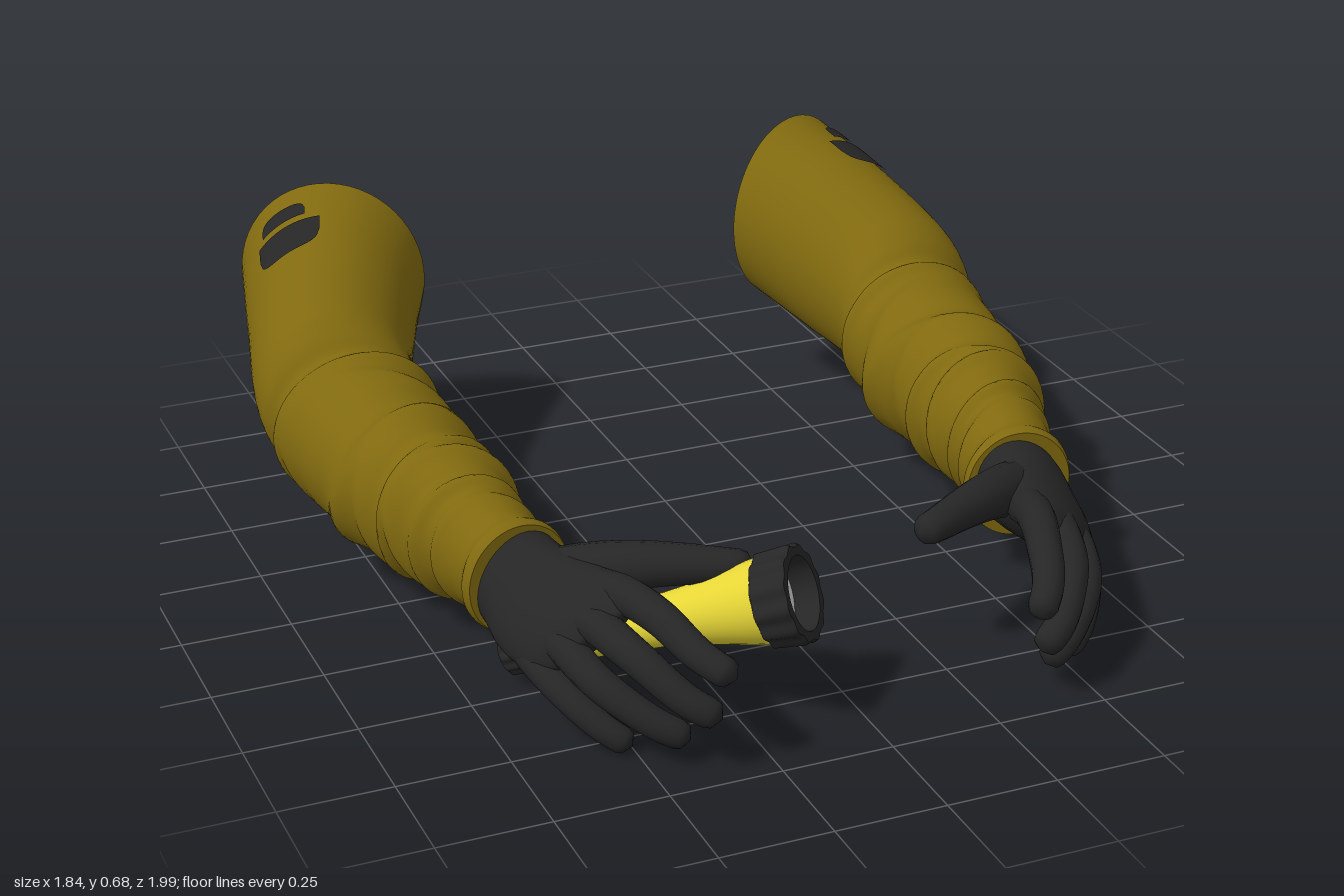
import * as THREE from 'three';
import { mergeVertices } from 'three/addons/utils/BufferGeometryUtils.js';

const V = (x, y, z) => new THREE.Vector3(x, y, z);
const mat = (name, color) => new THREE.MeshStandardMaterial({ name, color });
const olive = mat('olive cloth', 0x80690f);
const dark = mat('charcoal', 0x262626);
const yellow = mat('yellow casing', 0xe6d637);
const lensGrey = mat('pale lens', 0xd2d2d2);

function mesh(name, geometry, material, parent) {
  const m = new THREE.Mesh(geometry, material);
  m.name = name;
  parent.add(m);
  return m;
}

// weld seams and smooth
function smooth(g) {
  g.deleteAttribute('uv');
  g.deleteAttribute('normal');
  const w = mergeVertices(g, 1e-5);
  w.computeVertexNormals();
  return w;
}

// surface from a rule f(a, b), with a and b running 0..1
function grid(f, na, nb) {
  const pos = [], idx = [];
  for (let i = 0; i <= na; i++) {
    for (let j = 0; j <= nb; j++) {
      pos.push(...f(i / na, j / nb).toArray());
      if (i < na && j < nb) {
        const p = i * (nb + 1) + j, q = p + nb + 1;
        idx.push(p, p + 1, q, p + 1, q + 1, q);
      }
    }
  }
  const g = new THREE.BufferGeometry();
  g.setAttribute('position', new THREE.Float32BufferAttribute(pos, 3));
  g.setIndex(idx);
  return smooth(g);
}

// sleeve rings from shoulder to wrist: outer x,z / inner x,z / top y, bottom y
const rings = [
  [.81, -1.0, .41, -.79, .69, .22], [.87, -.74, .48, -.65, .625, .17],
  [.918, -.5, .545, -.47, .535, .125], [.90, -.38, .53, -.36, .465, .1],
  [.88, -.2, .515, -.2, .45, .078], [.84, 0, .52, 0, .435, .09],
  [.79, .15, .515, .13, .415, .108], [.74, .28, .52, .26, .385, .118],
  [.715, .42, .485, .385, .36, .112],
];
const curve = f => new THREE.CatmullRomCurve3(rings.map(f));
const outer = curve(r => V(r[0], 0, r[1]));
const inner = curve(r => V(r[2], 0, r[3]));
const heights = curve(r => V(r[4], r[5], 0));

// cloth folds: ring position, height, width, tilt, phase
const folds = [
  [2.9, .018, .16, .15, 1.6], [3.5, .010, .22, -.35, 0], [4.3, .012, .2, .4, .8],
  [4.9, .012, .2, -.3, 2.2], [5.35, .016, .15, .25, .2], [5.95, .018, .18, -.25, 1.2],
  [6.5, .014, .14, .2, 2.6], [7.05, .010, .15, -.15, 0], [7.85, .012, .16, 0, 0],
];

function ringAt(k) {
  const o = outer.getPoint(k / 8), i = inner.getPoint(k / 8), h = heights.getPoint(k / 8);
  const c = o.clone().add(i).multiplyScalar(.5);
  c.y = (h.x + h.y) / 2;
  return { c, side: o.sub(i).multiplyScalar(.5), up: V(0, (h.x - h.y) / 2, 0) };
}

function sleevePoint(k, u, lift = 0) {
  const { c, side, up } = ringAt(k);
  const d = side.multiplyScalar(Math.cos(u)).addScaledVector(up, Math.sin(u));
  let bump = lift;
  for (const [at, h, w, tilt, ph] of folds) {
    const x = (k - at - tilt * Math.cos(u - ph)) / w;
    // each fold rises slowly and drops sharply
    bump += h * (.75 + .25 * Math.cos(2 * u + ph)) * Math.exp(-x * x * (x > 0 ? 1 : 2.5));
    bump -= .4 * h * Math.exp(-((x + 1.9) ** 2));
  }
  return c.addScaledVector(d, 1 + bump / d.length());
}

// half-moon patch lying on the sleeve; dir sets the domed side
const halfMoon = (k, u, dk, du, dir) => grid((a, b) => {
  const s = 2 * b - 1, dome = Math.pow(1 - s ** 4, .5);
  const v = dir > 0 ? -1 + a * (1 + dome) : 1 - (1 - a) * (1 + dome);
  return sleevePoint(k + v * dk, u + s * du, .006);
}, 10, 24);

// tapered finger with a rounded tip
function finger(points, r0, r1) {
  const path = new THREE.CatmullRomCurve3(points.map(p => V(...p)));
  const seg = 28, rad = 14, g = new THREE.TubeGeometry(path, seg, 1, rad);
  const p = g.attributes.position, len = path.getLength(), v = V();
  for (let i = 0; i < p.count; i++) {
    const t = Math.floor(i / (rad + 1)) / seg, c = path.getPointAt(t);
    const tip = Math.max(0, 1 - (1 - t) * len / r1);
    const r = (r0 + (r1 - r0) * t) * Math.sqrt(Math.max(0, 1 - tip * tip));
    v.fromBufferAttribute(p, i).sub(c).multiplyScalar(r).add(c);
    p.setXYZ(i, v.x, v.y, v.z);
  }
  return smooth(g);
}

// palm sections: centre, width half-vector, thickness half-vector
const palm = [
  [V(.603, .235, .36), V(-.07, .088, 0), V(-.072, -.07, 0)],
  [V(.597, .235, .45), V(-.078, .088, .01), V(-.068, -.064, 0)],
  [V(.585, .235, .53), V(-.098, .093, .03), V(-.058, -.054, 0)],
  [V(.572, .238, .61), V(-.106, .098, .04), V(-.046, -.044, -.01)],
  [V(.56, .238, .67), V(-.1, .098, .04), V(-.036, -.036, -.012)],
  [V(.55, .235, .715), V(-.07, .07, .03), V(-.02, -.02, -.01)],
  [V(.548, .235, .725), V(-.001, .001, 0), V(-.001, -.001, 0)],
];
const palmCurves = [0, 1, 2].map(n => new THREE.CatmullRomCurve3(palm.map(s => s[n])));

const fingers = {
  indexFinger: [[[.50, .30, .62], [.475, .32, .71], [.44, .31, .81], [.40, .27, .91], [.345, .235, .98]], .044, .032],
  middleFinger: [[[.56, .26, .62], [.54, .265, .71], [.50, .24, .83], [.43, .175, .92], [.365, .135, .955]], .044, .032],
  ringFinger: [[[.605, .21, .58], [.60, .21, .67], [.565, .17, .78], [.48, .105, .865], [.41, .065, .895]], .042, .031],
  littleFinger: [[[.645, .165, .53], [.642, .155, .61], [.615, .12, .70], [.56, .065, .775], [.505, .025, .81]], .039, .029],
  thumb: [[[.56, .26, .47], [.49, .30, .535], [.41, .325, .595], [.32, .335, .65], [.25, .337, .69], [.19, .335, .715]], .068, .033],
};

function makeArm() {
  const arm = new THREE.Group();
  const TAU = Math.PI * 2;
  mesh('sleeve', grid((a, b) => sleevePoint(8 * a, b * TAU), 150, 56), olive, arm);
  const rim = (k, r, u) => sleevePoint(k, u).lerp(ringAt(k).c, 1 - r);
  mesh('cuffEnd', grid((a, b) => rim(8, 1 - .4 * a, b * TAU), 2, 56), olive, arm);
  mesh('shoulderCap', grid((a, b) => rim(0, a, b * TAU), 2, 56), dark, arm);
  // diagonal stripe over the shoulder cap
  const { c, side, up } = ringAt(0), tilt = .54;
  const out = side.clone().cross(up).normalize().multiplyScalar(-.004);
  mesh('shoulderCapStripe', grid((a, b) => {
    const w = .64 * (b - .5), s = (2 * a - 1) * Math.sqrt(1 - w * w);
    return c.clone().add(out)
      .addScaledVector(side, s * Math.cos(tilt) - w * Math.sin(tilt))
      .addScaledVector(up, s * Math.sin(tilt) + w * Math.cos(tilt));
  }, 8, 10), olive, arm);
  mesh('largePatch', halfMoon(.82, 1.08, .21, .4, 1), dark, arm);
  mesh('smallPatch', halfMoon(.41, 1.03, .11, .28, -1), dark, arm);

  const glove = new THREE.Group();
  glove.name = 'glove';
  arm.add(glove);
  mesh('palm', grid((a, b) => {
    const [p, w, t] = palmCurves.map(q => q.getPoint(a));
    return p.addScaledVector(w, Math.cos(b * TAU)).addScaledVector(t, Math.sin(b * TAU));
  }, 36, 32), dark, glove);
  for (const [name, spec] of Object.entries(fingers)) mesh(name, finger(...spec), dark, glove);
  return arm;
}

// ring or cap turned from a profile, with grip scallops on its rim
function scalloped(profile, count, depth, from) {
  const g = new THREE.LatheGeometry(profile.map(p => new THREE.Vector2(...p)), 72);
  const p = g.attributes.position;
  for (let i = 0; i < p.count; i++) {
    const x = p.getX(i), z = p.getZ(i), r = Math.hypot(x, z);
    if (r < from) continue;
    const k = 1 - depth * (.5 + .5 * Math.cos(count * Math.atan2(z, x)));
    p.setX(i, x * k);
    p.setZ(i, z * k);
  }
  g.computeVertexNormals();
  return g;
}

function makeFlashlight() {
  const light = new THREE.Group();
  light.name = 'flashlight';
  const tail = V(-.635, .075, .41), front = V(-.13, .315, .83);
  const L = tail.distanceTo(front);
  light.position.copy(tail);
  light.quaternion.setFromUnitVectors(V(0, 1, 0), front.clone().sub(tail).normalize());
  const body = [[.048, .04], [.05, .2], [.055, .36], [.066, .46], [.088, L - .12], [.096, L - .07]];
  mesh('casing', new THREE.LatheGeometry(body.map(p => new THREE.Vector2(...p)), 40), yellow, light);
  mesh('tailCap', scalloped([[0, 0], [.046, 0], [.046, 0], [.056, .008], [.056, .045], [.056, .045], [.046, .052]], 12, .08, .05), dark, light);
  mesh('headRing', scalloped([[.09, L - .085], [.103, L - .08], [.103, L - .08], [.109, L - .01],
    [.104, L], [.104, L], [.08, L], [.08, L], [.074, L - .06]], 12, .07, .095), dark, light);
  const lens = mesh('lens', new THREE.CircleGeometry(.078, 40), lensGrey, light);
  lens.rotation.x = -Math.PI / 2;
  lens.position.y = L - .055;
  return light;
}

export function createModel() {
  const model = new THREE.Group();
  const left = makeArm(), right = makeArm();
  left.name = 'leftArm';
  right.name = 'rightArm';
  right.scale.x = -1;
  model.add(left, right, makeFlashlight());
  return model;
}
